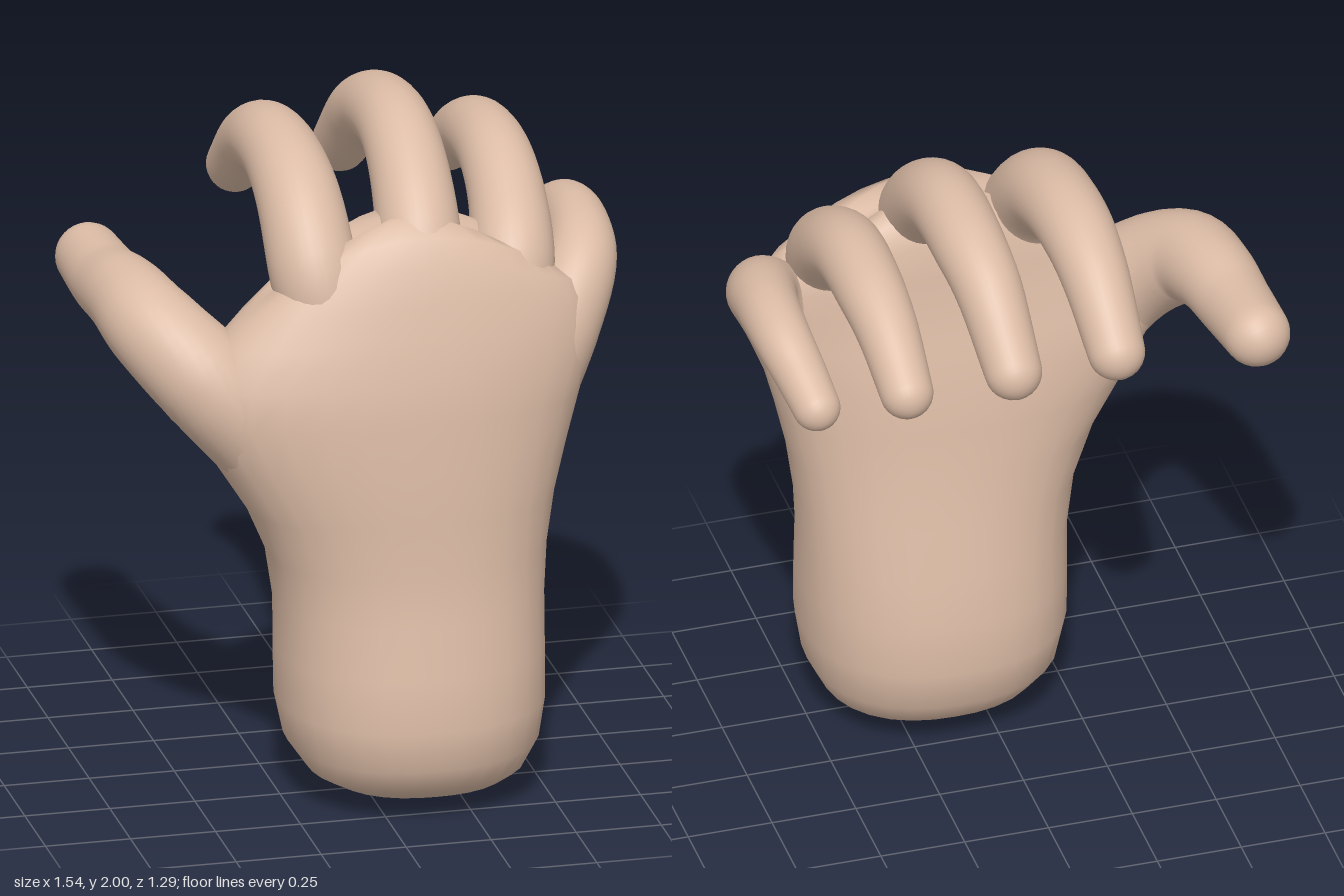
import * as THREE from 'three';

const SIDES = 32;

// Closed, smooth skin over rings of points, with a pole at each end
function loft(rings, start, end) {
  const pos = [], idx = [];
  for (const ring of rings) for (const p of ring) pos.push(p.x, p.y, p.z);
  const s = rings.length * SIDES, e = s + 1;
  pos.push(start.x, start.y, start.z, end.x, end.y, end.z);
  const last = (rings.length - 1) * SIDES;
  for (let j = 0; j < SIDES; j++) {
    const k = (j + 1) % SIDES;
    idx.push(s, j, k, last + j, e, last + k);
    for (let i = 0; i < last; i += SIDES) {
      const a = i + j, b = i + k, c = a + SIDES, d = b + SIDES;
      idx.push(a, c, b, b, c, d);
    }
  }
  const geo = new THREE.BufferGeometry();
  geo.setAttribute('position', new THREE.Float32BufferAttribute(pos, 3));
  geo.setIndex(idx);
  geo.computeVertexNormals();
  return geo;
}

// Wrist and palm rows: y, left x, right x, back z, front z, drop of y at the sides
const palmRows = [
  [0.03, -0.03, 0.30, 0.12, 0.42, 0],
  [0.06, -0.11, 0.40, 0.04, 0.52, 0],
  [0.10, -0.18, 0.45, -0.02, 0.58, 0],
  [0.18, -0.235, 0.49, -0.08, 0.63, 0],
  [0.30, -0.26, 0.51, -0.10, 0.64, 0],
  [0.45, -0.262, 0.512, -0.09, 0.62, 0],
  [0.60, -0.265, 0.512, -0.06, 0.59, 0],
  [0.75, -0.29, 0.52, -0.03, 0.57, 0],
  [0.90, -0.355, 0.54, 0, 0.565, 0],
  [1.05, -0.45, 0.575, 0.02, 0.555, 0],
  [1.20, -0.54, 0.615, 0.04, 0.54, 0],
  [1.32, -0.54, 0.645, 0.07, 0.525, 0.01],
  [1.44, -0.45, 0.65, 0.10, 0.49, 0.03],
  [1.54, -0.38, 0.64, 0.11, 0.465, 0.06],
  [1.64, -0.33, 0.61, 0.13, 0.43, 0.12],
  [1.72, -0.28, 0.55, 0.16, 0.39, 0.16],
  [1.76, -0.20, 0.44, 0.21, 0.34, 0.16],
];

function palmGeometry() {
  const rings = palmRows.map(([y, x0, x1, z0, z1, drop]) => {
    const ring = [];
    for (let j = 0; j < SIDES; j++) {
      const t = (j / SIDES) * Math.PI * 2;
      const u = Math.cos(t), v = Math.sin(t);
      // slightly squared oval
      const q = Math.pow(Math.abs(u) ** 2.3 + Math.abs(v) ** 2.3, -1 / 2.3);
      ring.push(new THREE.Vector3(
        (x0 + x1) / 2 + (x1 - x0) / 2 * u * q,
        y - drop * u * u,
        (z0 + z1) / 2 + (z1 - z0) / 2 * v * q));
    }
    return ring;
  });
  return loft(rings, new THREE.Vector3(0.13, 0.005, 0.27), new THREE.Vector3(0.12, 1.77, 0.28));
}

// Finger along points of x, y, z, radius, with a rounded tip
function fingerGeometry(path) {
  const curve = new THREE.CatmullRomCurve3(path.map(([x, y, z]) => new THREE.Vector3(x, y, z)));
  const rings = [], steps = 36, caps = 7;
  const addRing = (centre, tangent, r) => {
    const n = new THREE.Vector3(1, 0, 0).addScaledVector(tangent, -tangent.x).normalize();
    const b = n.clone().cross(tangent);
    const ring = [];
    for (let j = 0; j < SIDES; j++) {
      const t = (j / SIDES) * Math.PI * 2;
      ring.push(centre.clone().addScaledVector(n, r * Math.cos(t)).addScaledVector(b, r * Math.sin(t)));
    }
    rings.push(ring);
  };
  for (let i = 0; i <= steps; i++) {
    const f = i / steps * (path.length - 1);
    const k = Math.min(Math.floor(f), path.length - 2);
    const r = THREE.MathUtils.lerp(path[k][3], path[k + 1][3], f - k);
    addRing(curve.getPoint(i / steps), curve.getTangent(i / steps), r);
  }
  const tip = curve.getPoint(1), dir = curve.getTangent(1), r = path[path.length - 1][3];
  for (let i = 1; i < caps; i++) {
    const a = (i / caps) * Math.PI / 2;
    addRing(tip.clone().addScaledVector(dir, r * Math.sin(a)), dir, r * Math.cos(a));
  }
  return loft(rings, curve.getPoint(0), tip.clone().addScaledVector(dir, r));
}

const fingers = {
  thumb: [[-0.28, 1.10, 0.31, 0.16], [-0.48, 1.31, 0.29, 0.15], [-0.605, 1.435, 0.16, 0.135],
    [-0.64, 1.47, 0.01, 0.12], [-0.66, 1.465, -0.15, 0.107], [-0.672, 1.475, -0.325, 0.097]],
  indexFinger: [[-0.10, 1.38, 0.30, 0.13], [-0.155, 1.60, 0.28, 0.13], [-0.165, 1.77, 0.13, 0.122],
    [-0.17, 1.835, -0.04, 0.113], [-0.178, 1.835, -0.21, 0.107], [-0.185, 1.78, -0.35, 0.098], [-0.193, 1.64, -0.53, 0.083]],
  middleFinger: [[0.13, 1.42, 0.31, 0.13], [0.15, 1.63, 0.29, 0.125], [0.163, 1.80, 0.14, 0.116],
    [0.165, 1.89, -0.03, 0.109], [0.16, 1.887, -0.24, 0.105], [0.145, 1.83, -0.38, 0.098], [0.126, 1.66, -0.57, 0.083]],
  ringFinger: [[0.37, 1.36, 0.29, 0.13], [0.425, 1.56, 0.27, 0.125], [0.45, 1.70, 0.13, 0.113],
    [0.455, 1.785, -0.04, 0.105], [0.453, 1.785, -0.25, 0.099], [0.445, 1.74, -0.38, 0.09], [0.438, 1.635, -0.55, 0.077]],
  littleFinger: [[0.45, 1.16, 0.29, 0.14], [0.55, 1.37, 0.29, 0.125], [0.645, 1.53, 0.20, 0.105],
    [0.675, 1.585, 0.05, 0.091], [0.677, 1.58, -0.11, 0.083], [0.658, 1.53, -0.22, 0.076], [0.64, 1.475, -0.325, 0.069]],
};

export function createModel() {
  const skin = new THREE.MeshStandardMaterial({ color: 0xdbbba5 });
  skin.name = 'skin';
  const hand = new THREE.Group();
  hand.name = 'hand';
  const add = (name, geo) => {
    const mesh = new THREE.Mesh(geo, skin);
    mesh.name = name;
    hand.add(mesh);
  };
  add('wristAndPalm', palmGeometry());
  for (const [name, path] of Object.entries(fingers)) add(name, fingerGeometry(path));
  return hand;
}
